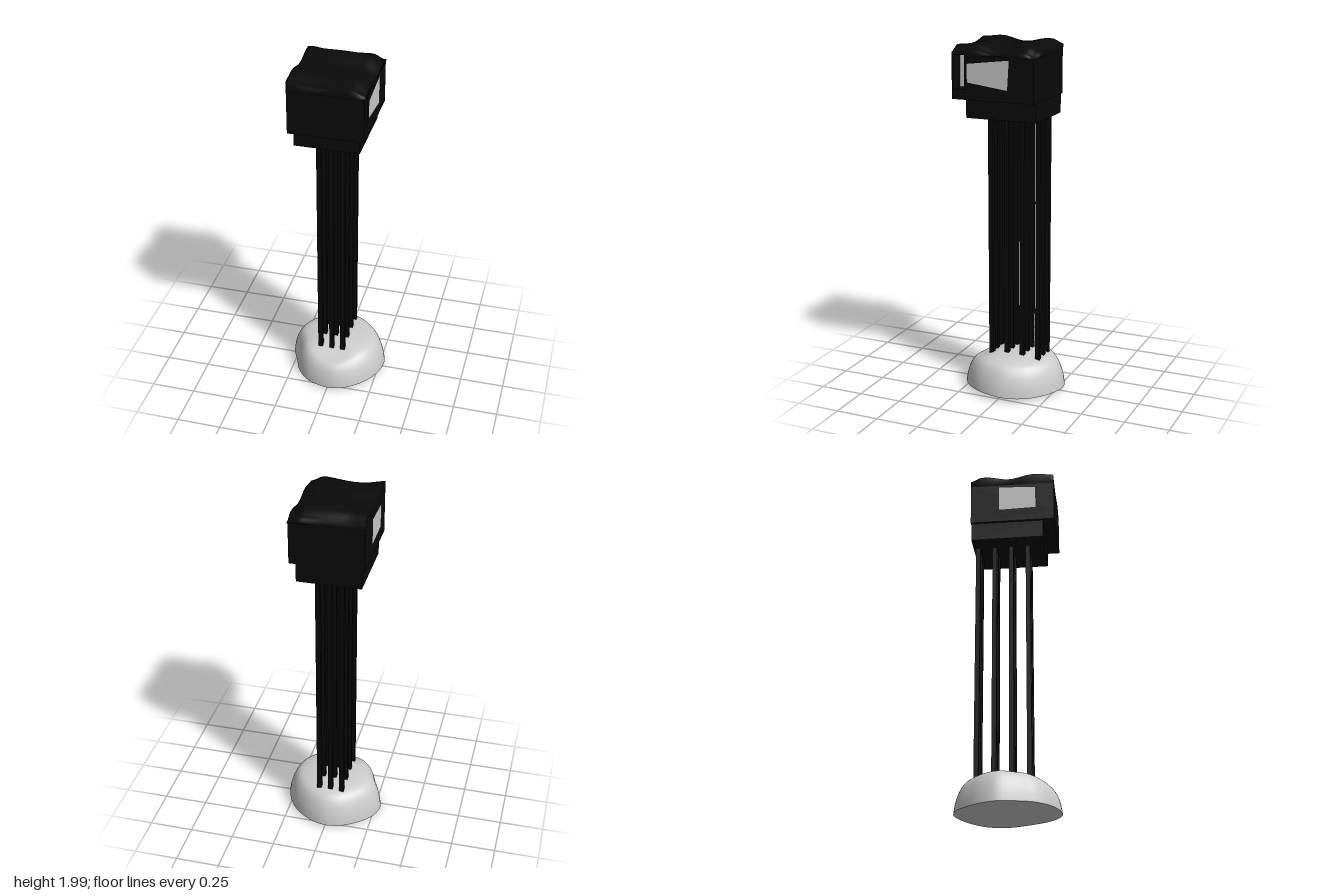
import * as THREE from 'three';
import { mergeVertices } from 'three/addons/utils/BufferGeometryUtils.js';

const black = new THREE.MeshStandardMaterial({ color: 0x0a0a0a });
const grey = new THREE.MeshStandardMaterial({ color: 0xcccccc });
const greyThin = new THREE.MeshStandardMaterial({ color: 0xcccccc, side: THREE.DoubleSide });
const v2 = ([x, y]) => new THREE.Vector2(x, y);

function add(parent, name, geometry, material) {
  const mesh = new THREE.Mesh(geometry, material);
  mesh.name = name;
  parent.add(mesh);
  return mesh;
}

// Box given by its limits on each axis
function boxBetween(x0, x1, y0, y1, z0, z1) {
  return new THREE.BoxGeometry(x1 - x0, y1 - y0, z1 - z0)
    .translate((x0 + x1) / 2, (y0 + y1) / 2, (z0 + z1) / 2);
}

// Move every vertex by a rule, then smooth the result
function reshape(geometry, rule) {
  const p = geometry.attributes.position;
  for (let i = 0; i < p.count; i++) {
    const [x, y, z] = rule(p.getX(i), p.getY(i), p.getZ(i));
    p.setXYZ(i, x, y, z);
  }
  geometry.deleteAttribute('uv');
  geometry.deleteAttribute('normal');
  const merged = mergeVertices(geometry, 1e-5);
  merged.computeVertexNormals();
  return merged;
}

// Lumpy stone: a lathed dome pushed out to an irregular plan outline
function createStone() {
  const stone = new THREE.Group();
  stone.name = 'stoneBase';
  const outline = new THREE.CatmullRomCurve3([
    [0.02, 0.287], [0.12, 0.26], [0.21, 0.19], [0.265, 0.1], [0.281, -0.02], [0.235, -0.14],
    [0.18, -0.205], [0.1, -0.262], [0, -0.29], [-0.1, -0.265], [-0.2, -0.19], [-0.26, -0.115],
    [-0.283, -0.03], [-0.235, 0.09], [-0.2, 0.17], [-0.12, 0.25],
  ].map(([x, z]) => new THREE.Vector3(x, 0, z)), true);
  const rule = (x, y, z) => {
    const r = Math.hypot(x, z);
    const turn = (Math.atan2(x, z) / (2 * Math.PI) + 1) % 1;
    const edge = outline.getPoint(turn);
    const px = edge.x * r, pz = edge.z * r;
    const low = 0.018 + 0.035 * px + 0.006 * Math.sin(12 * pz);
    const dent = 0.035 * Math.exp(-(px * px) / 0.02 - (pz - 0.2) ** 2 / 0.006);
    return [px, low + y * (0.217 - low - dent), pz];
  };
  const dome = new THREE.SplineCurve([
    [1, 0], [0.99, 0.12], [0.96, 0.34], [0.89, 0.62], [0.78, 0.83], [0.6, 0.93], [0.35, 0.98], [0, 1],
  ].map(v2)).getPoints(28);
  dome[dome.length - 1].x = 0;
  add(stone, 'stoneDome', reshape(new THREE.LatheGeometry(dome, 64), rule), grey);
  const under = [0, 0.25, 0.5, 0.75, 1].map((r) => new THREE.Vector2(r, 0));
  add(stone, 'stoneUnderside', reshape(new THREE.LatheGeometry(under, 64), rule), grey);
  return stone;
}

// Flat pane on a side wall, corners as [z, y]
function createPane(corners, x) {
  const shape = new THREE.Shape(corners.map(([z, y]) => new THREE.Vector2(-z, y)));
  return new THREE.ShapeGeometry(shape).rotateY(Math.PI / 2).translate(x, 0, 0);
}

// Uneven cover on top of the box
function createRoof() {
  const top = (x, z) => 1.978
    + 0.009 * Math.sin(17 * x + 2.2) * Math.cos(9 * z)
    + 0.009 * Math.cos(24 * (z - 0.16))
    - 0.03 * THREE.MathUtils.smoothstep(x, 0.13, 0.21)
    - 0.018 * THREE.MathUtils.smoothstep(-z, 0.13, 0.2)
    + 0.008 * THREE.MathUtils.smoothstep(-x, 0.1, 0.2);
  const cover = new THREE.BoxGeometry(0.41, 1, 0.48, 28, 1, 32).translate(0.004, 0.5, 0.045);
  return reshape(cover, (x, y, z) => {
    const back = z < -0.19 ? -0.01 * THREE.MathUtils.smoothstep(x, 0, 0.2) : 0;
    return [x, y > 0.5 ? Math.min(2, top(x, z)) : 1.93, z + back];
  });
}

function createHead() {
  const head = new THREE.Group();
  head.name = 'box';
  add(head, 'lowerBlock', boxBetween(-0.185, 0.17, 1.585, 1.69, -0.19, 0.22), black);
  add(head, 'boxFloor', boxBetween(-0.2, 0.207, 1.69, 1.745, -0.193, 0.286), black);

  // Walls with a deep slot behind the front panel on the left side
  const plan = new THREE.Shape([
    [-0.2, -0.286], [0.207, -0.286], [0.207, -0.278], [0.12, -0.278],
    [0.12, -0.212], [0.207, -0.212], [0.207, 0.193], [-0.2, 0.193],
  ].map(v2));
  const walls = new THREE.ExtrudeGeometry(plan, { depth: 0.185, bevelEnabled: false })
    .rotateX(-Math.PI / 2).translate(0, 1.745, 0);
  add(head, 'boxWalls', walls, black);
  add(head, 'roof', createRoof(), black);

  // Panes
  add(head, 'slotPane', createPane([[0.278, 1.745], [0.212, 1.745], [0.212, 1.93], [0.278, 1.93]], 0.122), greyThin);
  add(head, 'leftWindow', createPane([[0.195, 1.785], [-0.04, 1.755], [-0.05, 1.915], [0.195, 1.885]], 0.21), greyThin);
  add(head, 'rightWindow', createPane([[0.18, 1.77], [-0.03, 1.765], [-0.03, 1.915], [0.18, 1.905]], -0.203), greyThin);
  return head;
}

export function createModel() {
  const model = new THREE.Group();
  model.name = 'boxOnRods';
  model.add(createStone(), createHead());

  // Grid of square rods
  const rods = new THREE.Group();
  rods.name = 'rods';
  for (const x of [-0.075, -0.008, 0.058]) {
    for (const z of [0.124, 0.028, -0.067, -0.162]) {
      add(rods, 'rod', boxBetween(x - 0.013, x + 0.013, 0.195, 1.59, z - 0.013, z + 0.013), black);
    }
  }
  model.add(rods);
  return model;
}
